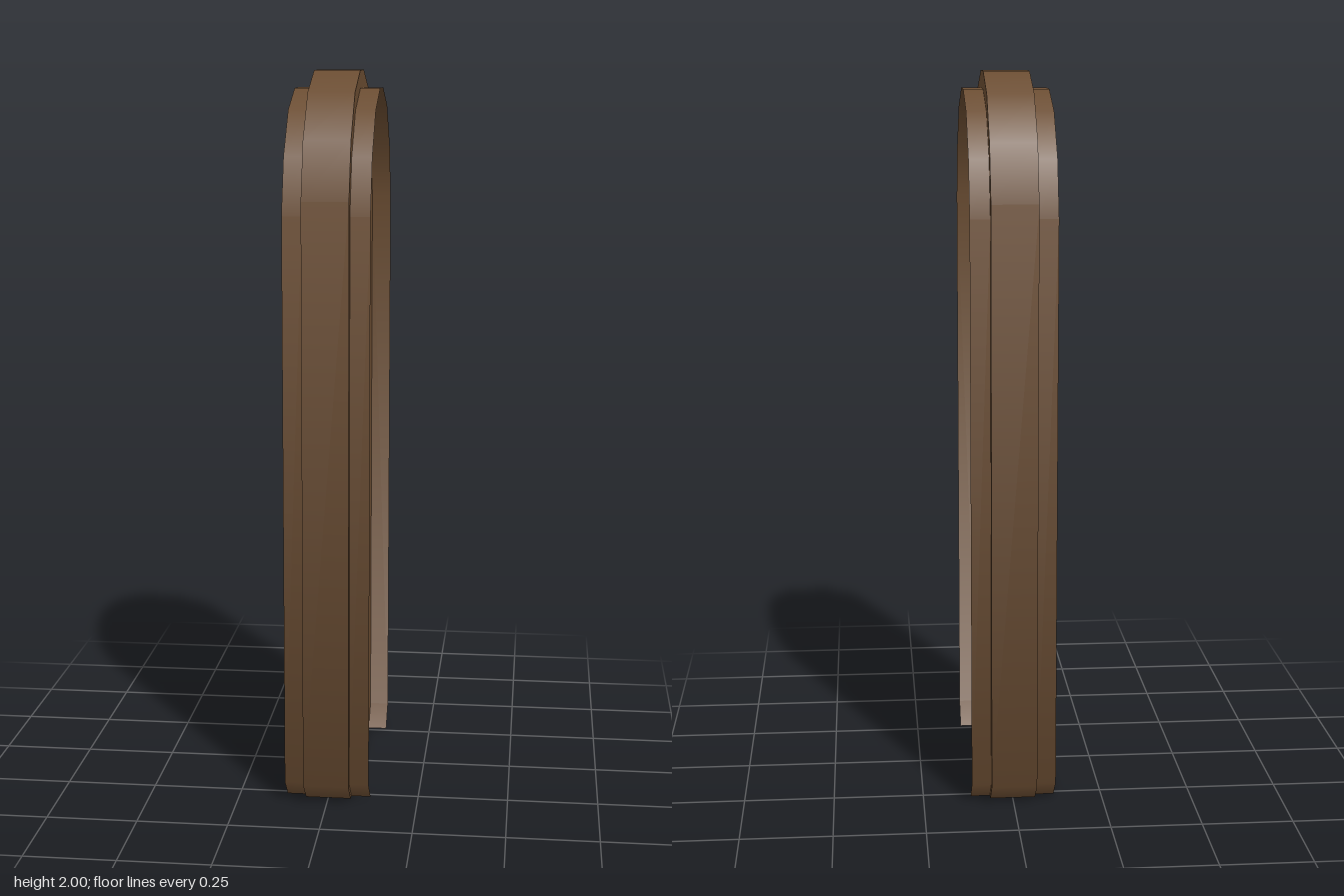
import * as THREE from 'three';

// Half outline as [z, y], from the foot up to the crown
const HALF = [[0.285, 0], [0.35, 0.06], [0.35, 1.67], [0.3, 1.825], [0.195, 1.945], [0.05, 2]];

// Full arch outline, open along the foot
function outline(sz, sy) {
  const side = HALF.map(([z, y]) => new THREE.Vector2(z * sz, y * sy));
  return [...side, ...side.map((p) => new THREE.Vector2(-p.x, p.y)).reverse()];
}

// Smooth strip following the outline between two x positions
function bandGeometry(points, x0, x1) {
  const last = points.length - 1;
  const facing = points.slice(1).map((p, i) => {
    const d = p.clone().sub(points[i]).normalize();
    return new THREE.Vector2(d.y, -d.x);
  });
  const positions = [];
  const normals = [];
  const index = [];
  points.forEach((p, i) => {
    // Each corner shares the directions of its two neighbours equally
    const n = facing[Math.max(i - 1, 0)].clone().add(facing[Math.min(i, last - 1)]).normalize();
    positions.push(x0, p.y, p.x, x1, p.y, p.x);
    normals.push(0, n.y, n.x, 0, n.y, n.x);
    if (i < last) {
      const a = i * 2;
      index.push(a, a + 1, a + 3, a, a + 3, a + 2);
    }
  });
  const geometry = new THREE.BufferGeometry();
  geometry.setAttribute('position', new THREE.Float32BufferAttribute(positions, 3));
  geometry.setAttribute('normal', new THREE.Float32BufferAttribute(normals, 3));
  geometry.setIndex(index);
  return geometry;
}

// Flat plate across the model at x, facing +x (side 1) or -x (side -1)
function plateGeometry(points, side, x) {
  return new THREE.ShapeGeometry(new THREE.Shape(points)).rotateY(side * Math.PI / 2).translate(x, 0, 0);
}

export function createModel() {
  const brown = new THREE.MeshStandardMaterial({ color: 0x6b4d32, side: THREE.DoubleSide });
  brown.name = 'brown';
  const group = new THREE.Group();
  group.name = 'archedSlab';
  const add = (name, geometry) => {
    const mesh = new THREE.Mesh(geometry, brown);
    mesh.name = name;
    group.add(mesh);
  };

  const inner = 0.063;
  const outer = 0.117;
  const large = outline(1, 1);
  const small = outline(0.932, 0.976);

  // Bands, open at the foot
  add('middleBand', bandGeometry(large, -inner, inner));
  add('leftRim', bandGeometry(small, inner, outer));
  add('rightRim', bandGeometry(small, -outer, -inner));

  // Left side: panel recessed behind its rim
  add('leftPanel', plateGeometry(large, 1, inner));

  // Right side: narrow step, then a raised panel closing the rim
  add('rightStep', plateGeometry([...large, ...small.slice().reverse()], -1, -inner));
  add('rightPanel', plateGeometry(small, -1, -outer));
  return group;
}
